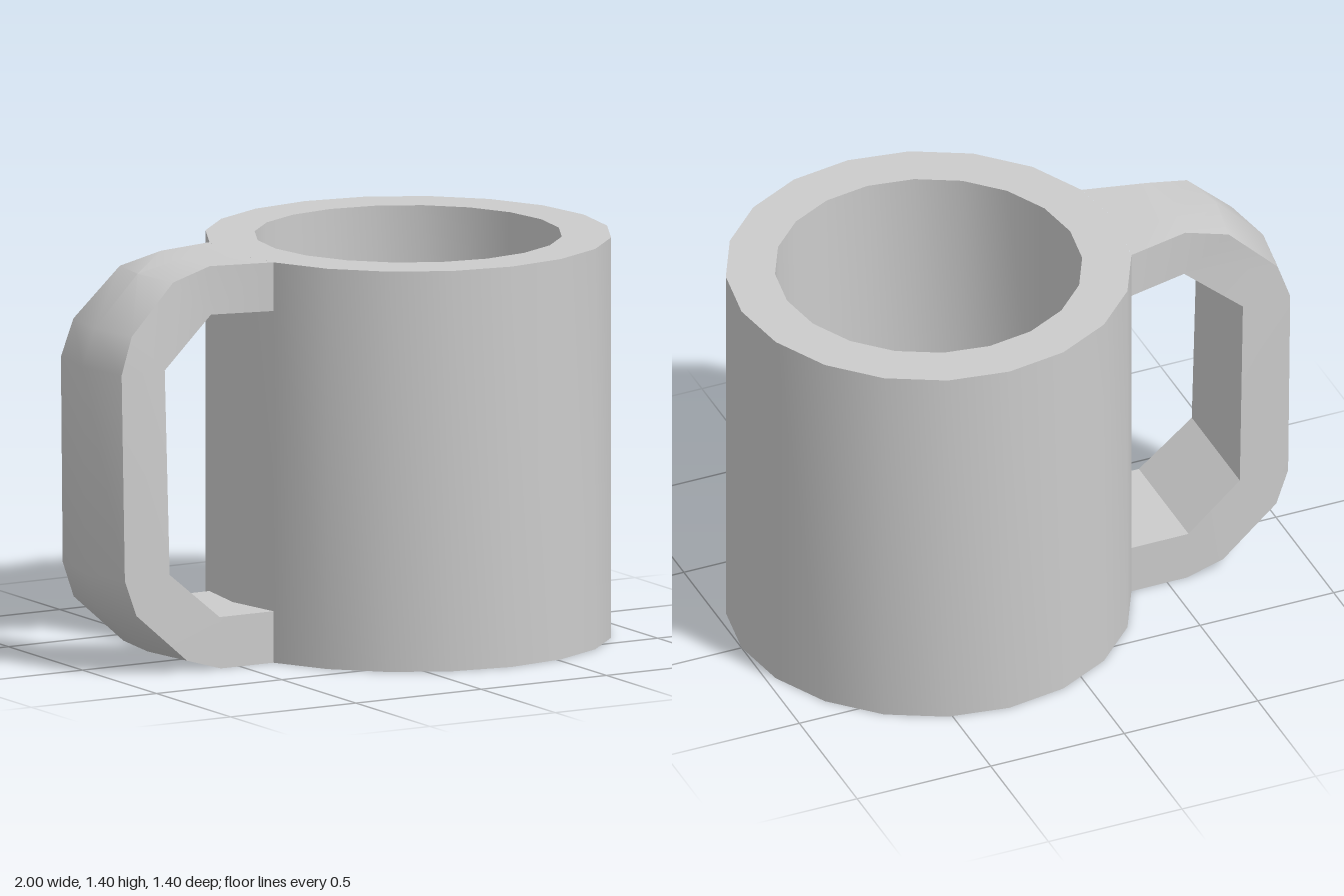
import * as THREE from 'three';
import { toCreasedNormals } from 'three/addons/utils/BufferGeometryUtils.js';

const grey = new THREE.MeshStandardMaterial({ color: 0xcccccc });

function part(name, geometry, crease) {
  const mesh = new THREE.Mesh(toCreasedNormals(geometry, crease), grey);
  mesh.name = name;
  return mesh;
}

// Thick-walled cup: one closed profile turned in 20 steps
function cupGeometry() {
  const profile = [[0, 0], [0.7, 0], [0.7, 1.4], [0.53, 1.4], [0.53, 0.18], [0, 0.18]];
  return new THREE.LatheGeometry(profile.map(([r, y]) => new THREE.Vector2(r, y)), 20);
}

// Handle: five-sided sections, with a shallow ridge along the outside
function handleGeometry() {
  // inner edge: x, y, half width
  const inner = [
    [-0.366, 1.23, 0.216], [-0.585, 1.23, 0.165], [-0.79, 1.06, 0.2],
    [-0.775, 0.345, 0.208], [-0.58, 0.18, 0.215], [-0.366, 0.18, 0.216],
  ];
  // outer edge: x, y, half width, ridge x, ridge y, index of matching inner point
  const outer = [
    [-0.366, 1.4, 0.216, -0.4, 1.4, 0],
    [-0.59, 1.4, 0.165, -0.61, 1.4, 1],
    [-0.745, 1.36, 0.18, -0.78, 1.365, 1],
    [-0.92, 1.19, 0.197, -0.952, 1.19, 2],
    [-0.965, 1.06, 0.205, -1, 1.06, 2],
    [-0.955, 0.34, 0.21, -0.99, 0.34, 3],
    [-0.91, 0.215, 0.212, -0.945, 0.22, 3],
    [-0.71, 0.04, 0.215, -0.74, 0.04, 4],
    [-0.575, 0, 0.215, -0.59, 0, 4],
    [-0.366, 0, 0.216, -0.4, 0, 5],
  ];
  const positions = [];
  const index = [];
  outer.forEach(([x, y, w, rx, ry, k], i) => {
    const [ix, iy, iw] = inner[k];
    positions.push(x, y, w, rx, ry, 0, x, y, -w, ix, iy, -iw, ix, iy, iw);
    if (i === outer.length - 1) return;
    const sharedInner = outer[i + 1][5] === k;
    for (let j = 0; j < 5; j++) {
      if (j === 3 && sharedInner) continue;
      const a = i * 5 + j, b = i * 5 + (j + 1) % 5;
      // where two sections share an inner point, the side is a single triangle
      if (!(sharedInner && j === 4)) index.push(a, b, a + 5);
      if (!(sharedInner && j === 2)) index.push(b, b + 5, a + 5);
      if (sharedInner && j === 2) index.push(a, b, a + 5);
      else if (sharedInner && j === 4) index.splice(-3, 3, a, b, b + 5);
    }
  });
  const geometry = new THREE.BufferGeometry();
  geometry.setAttribute('position', new THREE.Float32BufferAttribute(positions, 3));
  geometry.setIndex(index);
  return geometry;
}

export function createModel() {
  const model = new THREE.Group();
  model.name = 'mug';
  const cup = part('cup', cupGeometry(), 0.6);
  cup.position.x = 0.3;
  model.add(cup, part('handle', handleGeometry(), 0.6));
  return model;
}
